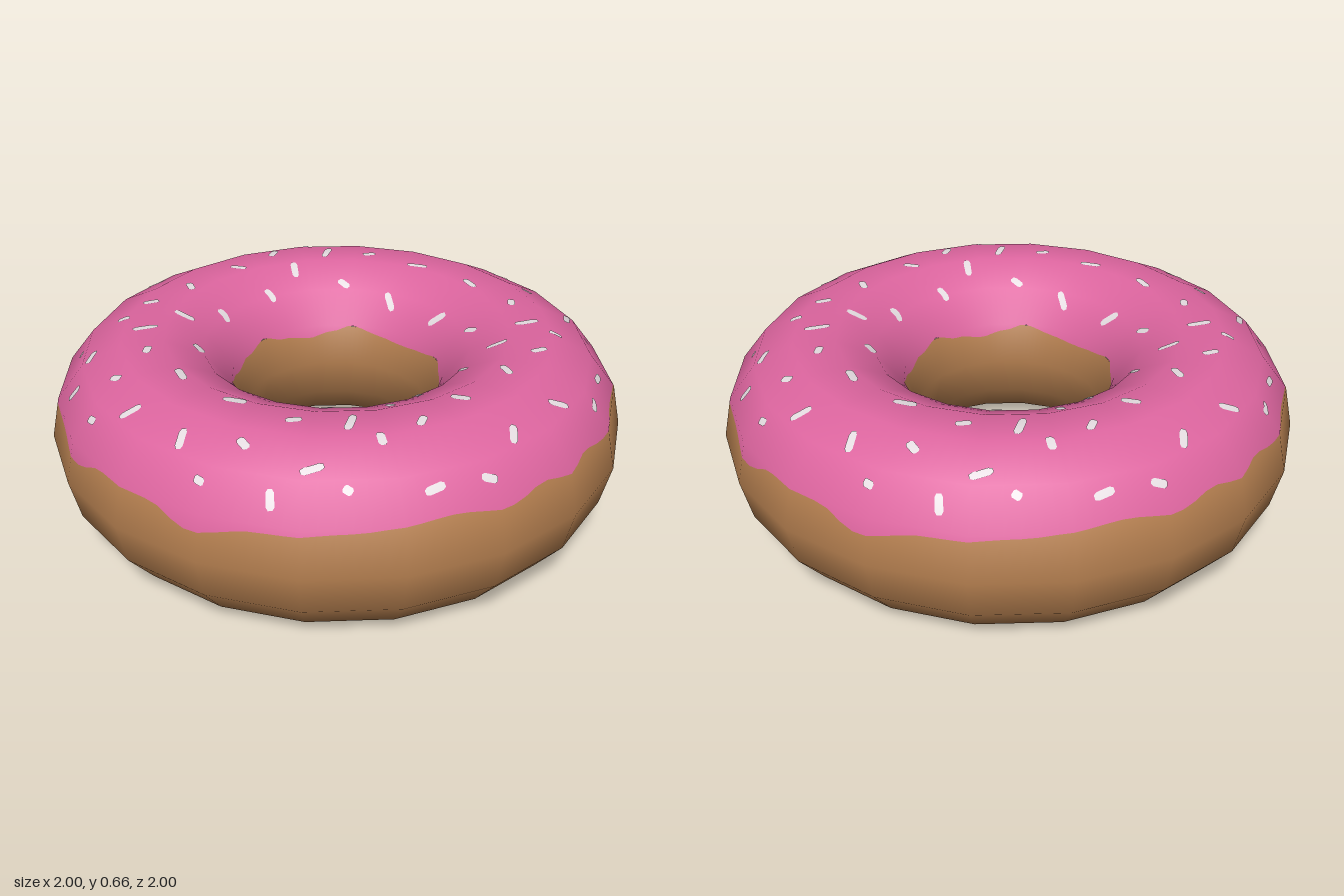
import * as THREE from 'three';
import { mergeGeometries } from 'three/addons/utils/BufferGeometryUtils.js';

const SIDES = 20, RINGS = 14, STEP = 360 / SIDES, RING = 360 / RINGS;
const R = 0.67, r = 0.33, MID = 0.328, H = 0.336; // ring radius, tube radius, mid height, tube half height
const rad = THREE.MathUtils.degToRad, deg = THREE.MathUtils.radToDeg;

// Corner of the low-poly ring; az runs from +z towards +x, v from the outer rim over the top
function corner(az, v) {
  const a = rad(az), t = rad(v), k = (R + r * Math.cos(t)) / Math.cos(rad(STEP / 2));
  return {
    p: new THREE.Vector3(Math.sin(a) * k, MID + H * Math.sin(t), Math.cos(a) * k),
    n: new THREE.Vector3(Math.sin(a) * Math.cos(t), Math.sin(t), Math.cos(a) * Math.cos(t)),
  };
}

// Point and smooth normal on the flat facets of the ring
function onRing(az, v, lift = 0) {
  const u = (az - STEP / 2) / STEP, w = v / RING;
  const i = Math.floor(u + 1e-7), j = Math.floor(w + 1e-7);
  const at = (di, dj) => corner(STEP / 2 + (i + di) * STEP, (j + dj) * RING);
  const mix = (key) => {
    const low = at(0, 0)[key].lerp(at(1, 0)[key], u - i);
    return low.lerp(at(0, 1)[key].lerp(at(1, 1)[key], u - i), w - j);
  };
  const n = mix('n').normalize();
  return { p: mix('p').addScaledVector(n, lift), n };
}

// Grid of surface points; f(i, j) gives [az, v, lift]
function patch(nu, nv, f) {
  const pos = [], nor = [], idx = [];
  for (let j = 0; j <= nv; j++) {
    for (let i = 0; i <= nu; i++) {
      const { p, n } = onRing(...f(i, j));
      pos.push(p.x, p.y, p.z);
      nor.push(n.x, n.y, n.z);
      if (i < nu && j < nv) {
        const a = j * (nu + 1) + i, d = a + nu + 1;
        idx.push(a, a + 1, d + 1, a, d + 1, d);
      }
    }
  }
  const g = new THREE.BufferGeometry();
  g.setAttribute('position', new THREE.Float32BufferAttribute(pos, 3));
  g.setAttribute('normal', new THREE.Float32BufferAttribute(nor, 3));
  g.setIndex(idx);
  return g;
}

// Icing edge heights over one quarter, as [az, y]; mirrored at each diagonal
const OUTER = [[-45, 0.465], [-38, 0.463], [-30, 0.42], [-16, 0.455], [0, 0.465], [10, 0.48],
  [18, 0.485], [30, 0.465], [38, 0.486], [45, 0.468]];
const INNER = [[-45, 0.44], [-30, 0.45], [-12, 0.475], [0, 0.455], [13, 0.435], [30, 0.45], [45, 0.475]];

function edgeAngle(table, az) {
  let a = (((az + 45) % 180) + 180) % 180;
  a = (a > 90 ? 180 - a : a) - 45;
  let k = 1;
  while (k < table.length - 1 && table[k][0] < a) k++;
  const [a0, y0] = table[k - 1], [a1, y1] = table[k];
  const y = THREE.MathUtils.lerp(y0, y1, THREE.MathUtils.smoothstep(a, a0, a1));
  return deg(Math.asin((y - MID) / H));
}

// Sprinkles of the front quarter: centre x, z and span dx, dz seen from above
const SPRINKLES = [
  [-0.05, 0.48, 0.035, 0.035], [0.14, 0.54, 0.01, 0.07], [0.36, 0.535, 0.06, 0.02],
  [-0.34, 0.52, 0.075, 0.025], [-0.16, 0.645, 0.05, -0.01], [0.01, 0.67, 0.025, -0.085],
  [0.225, 0.67, 0.02, -0.055], [0.095, 0.75, 0.01, 0.045], [-0.31, 0.735, 0.025, 0.04],
  [-0.5, 0.67, 0.015, -0.065], [0.505, 0.68, 0.01, -0.065], [-0.44, 0.8, 0.03, 0.02],
  [-0.235, 0.895, 0, 0.04], [-0.11, 0.84, 0.07, -0.01], [-0.01, 0.9, 0.025, 0.012],
  [0.245, 0.88, 0.06, -0.025], [0.41, 0.82, 0.05, -0.01], [-0.22, 0.38, 0.015, 0.06],
  [0.235, 0.405, 0.035, 0.035],
];

// Thin strip that follows the ring surface between two points seen from above
function sprinkle(x, z, dx, dz) {
  const flat = (px, pz) => [deg(Math.atan2(px, pz)),
    deg(Math.acos(THREE.MathUtils.clamp((Math.hypot(px, pz) - R) / r, -0.95, 0.95)))];
  const rho = Math.hypot(x, z), [az, v] = flat(x, z);
  const [azA, vA] = flat(x - dx / 2, z - dz / 2), [azB, vB] = flat(x + dx / 2, z + dz / 2);
  const turn = THREE.MathUtils.euclideanModulo(azB - azA + 180, 360) - 180;
  const s = rad(turn) * rho, t = rad(vB - vA) * r, len = Math.hypot(s, t);
  return patch(6, 2, (i, j) => {
    const along = i / 6 - 0.5;
    const side = (j / 2 - 0.5) * (i % 6 === 0 ? 0.014 : 0.026) / len;
    return [az + deg((s * along - t * side) / rho), v + deg((t * along + s * side) / r), 0.003];
  });
}

export function createModel() {
  const dough = new THREE.MeshStandardMaterial({ name: 'dough brown', color: 0xb27d4e });
  const pink = new THREE.MeshStandardMaterial({ name: 'icing pink', color: 0xdd659f });
  const white = new THREE.MeshStandardMaterial({ name: 'sprinkle white', color: 0xe4dce0 });
  const model = new THREE.Group();
  model.name = 'doughnut';
  const add = (name, geometry, material) => {
    const mesh = new THREE.Mesh(geometry, material);
    mesh.name = name;
    model.add(mesh);
  };

  // Icing over the top and dough below share one wavy edge on each side
  const SUB = 6;
  const band = (first, last, limits) => patch(SIDES * SUB, last - first, (i, j) => {
    const az = STEP / 2 + (i * STEP) / SUB;
    const [lo, hi] = limits(edgeAngle(OUTER, az), 180 - edgeAngle(INNER, az));
    return [az, THREE.MathUtils.clamp((first + j) * RING, lo, hi)];
  });
  add('icing', band(0, 7, (o, n) => [o, n]), pink);
  add('dough', band(6, 16, (o, n) => [n, o + 360]), dough);

  // Sprinkles mirrored across both diagonals
  const strips = SPRINKLES.flatMap(([x, z, dx, dz]) => [
    sprinkle(x, z, dx, dz), sprinkle(-x, -z, -dx, -dz),
    sprinkle(z, x, dz, dx), sprinkle(-z, -x, -dz, -dx),
  ]);
  add('sprinkles', mergeGeometries(strips), white);
  return model;
}
